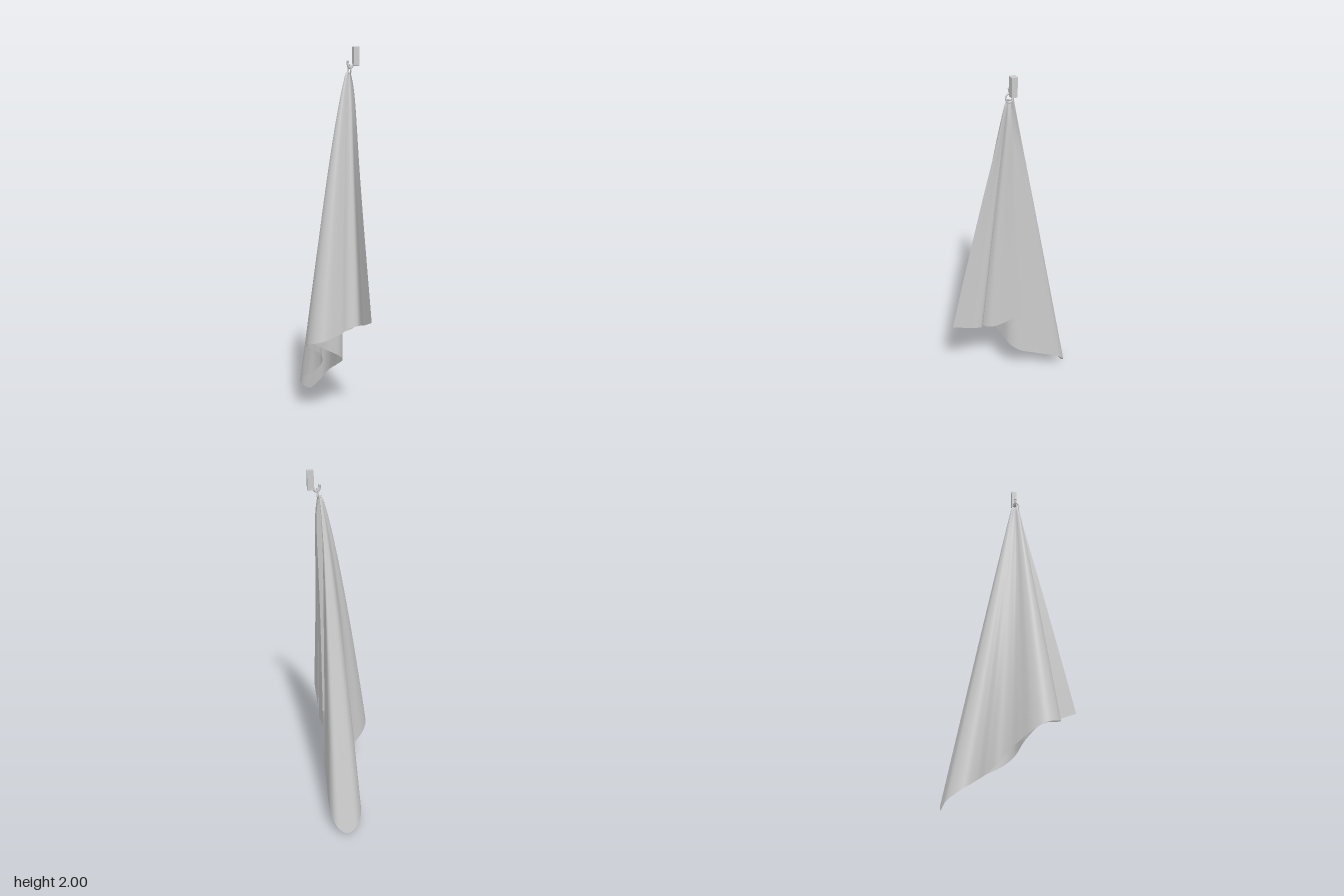
import * as THREE from 'three';
import { ParametricGeometry } from 'three/addons/geometries/ParametricGeometry.js';

const metal = new THREE.MeshStandardMaterial({ color: 0xcccccc });
const fabric = new THREE.MeshStandardMaterial({ color: 0xcccccc, side: THREE.DoubleSide });

function addMesh(parent, name, geometry, material) {
  const mesh = new THREE.Mesh(geometry, material);
  mesh.name = name;
  parent.add(mesh);
  return mesh;
}

const curve = (points) => new THREE.CatmullRomCurve3(points.map((p) => new THREE.Vector3(...p)));

// Square cloth hung from one corner: its two lower edges, from one side corner
// round the folds to the lowest corner and back to the other side corner.
const hem = curve([
  [0.112, 0.575, 0.365], [0.112, 0.535, 0.26], [0.108, 0.515, 0.19],
  [0.06, 0.5, 0.176], [0, 0.48, 0.2], [-0.1, 0.455, 0.222],
  [-0.15, 0.44, 0.19], [-0.167, 0.425, 0.135], [-0.14, 0.39, 0.07],
  [-0.08, 0.35, 0.015], [-0.03, 0.31, -0.03], [-0.002, 0.24, -0.09],
  [-0.02, 0.18, -0.15], [-0.055, 0.135, -0.205], [-0.072, 0.09, -0.27],
  [-0.04, 0.035, -0.345], [0.02, 0, -0.365], [0.08, 0.05, -0.357],
  [0.111, 0.12, -0.3], [0.111, 0.2, -0.15], [0.105, 0.26, -0.04],
  [0.07, 0.3, 0.01], [-0.04, 0.365, 0.05], [-0.135, 0.43, 0.12],
  [-0.12, 0.46, 0.195], [-0.02, 0.482, 0.187], [0.08, 0.495, 0.165],
  [0.114, 0.502, 0.125], [0.114, 0.53, -0.052],
]);
const HANG = new THREE.Vector3(0.112, 1.865, 0.027);

const bell = (x, centre, width) => Math.exp(-(((x - centre) / width) ** 2));
const nearTop = (v) => (v / 0.12) * Math.exp(1 - v / 0.12);
const midway = (v) => 4 * v * (1 - v);

// Every thread runs from the gathered top down to a point on the hem,
// with the folds swelling a little faster near the top.
function clothPoint(u, v, target) {
  hem.getPoint(u, target);
  const spreadX = 0.06 + 0.94 * Math.pow(v, 0.8);
  const spreadZ = 0.06 + 0.94 * Math.pow(v, 0.98);
  const valley = bell(u, 0.39, 0.065); // back crease, filled out above the hem
  const wallSide = bell(u, 0.68, 0.06); // sheet that tucks behind the free flap
  const flaps = bell(u, 0, 0.06) + bell(u, 1, 0.06); // the two side corners
  target.set(
    HANG.x + (target.x - HANG.x) * spreadX - 0.04 * valley * midway(v)
      - wallSide * (0.02 * nearTop(v) + 0.01 * midway(v)) + 0.012 * flaps * nearTop(v),
    HANG.y + (target.y - HANG.y) * v,
    HANG.z + (target.z - HANG.z) * spreadZ + 0.012 * bell(u, 1, 0.06) * midway(v),
  );
}

export function createModel() {
  const model = new THREE.Group();
  model.name = 'hangingTowel';

  addMesh(model, 'cloth', new ParametricGeometry(clothPoint, 196, 48), fabric);

  // Wall hook: upright plate and a bent prong
  const hook = new THREE.Group();
  hook.name = 'hook';
  model.add(hook);
  addMesh(hook, 'hookPlate', new THREE.BoxGeometry(0.032, 0.1, 0.03), metal)
    .position.set(0.151, 1.95, 0.025);
  const prong = curve([
    [0.14, 1.912, 0.025], [0.128, 1.893, 0.025], [0.114, 1.89, 0.025],
    [0.106, 1.902, 0.025], [0.105, 1.925, 0.025],
  ]);
  addMesh(hook, 'hookProng', new THREE.TubeGeometry(prong, 16, 0.006, 8), metal);
  addMesh(hook, 'prongTip', new THREE.SphereGeometry(0.008, 10, 8), metal)
    .position.set(0.105, 1.922, 0.025);

  // Fabric loop resting in the prong
  const loop = addMesh(model, 'hangingLoop', new THREE.TorusGeometry(0.02, 0.004, 8, 20), fabric);
  loop.rotation.y = Math.PI / 2;
  loop.scale.y = 1.2;
  loop.position.set(0.115, 1.88, 0.028);

  return model;
}
